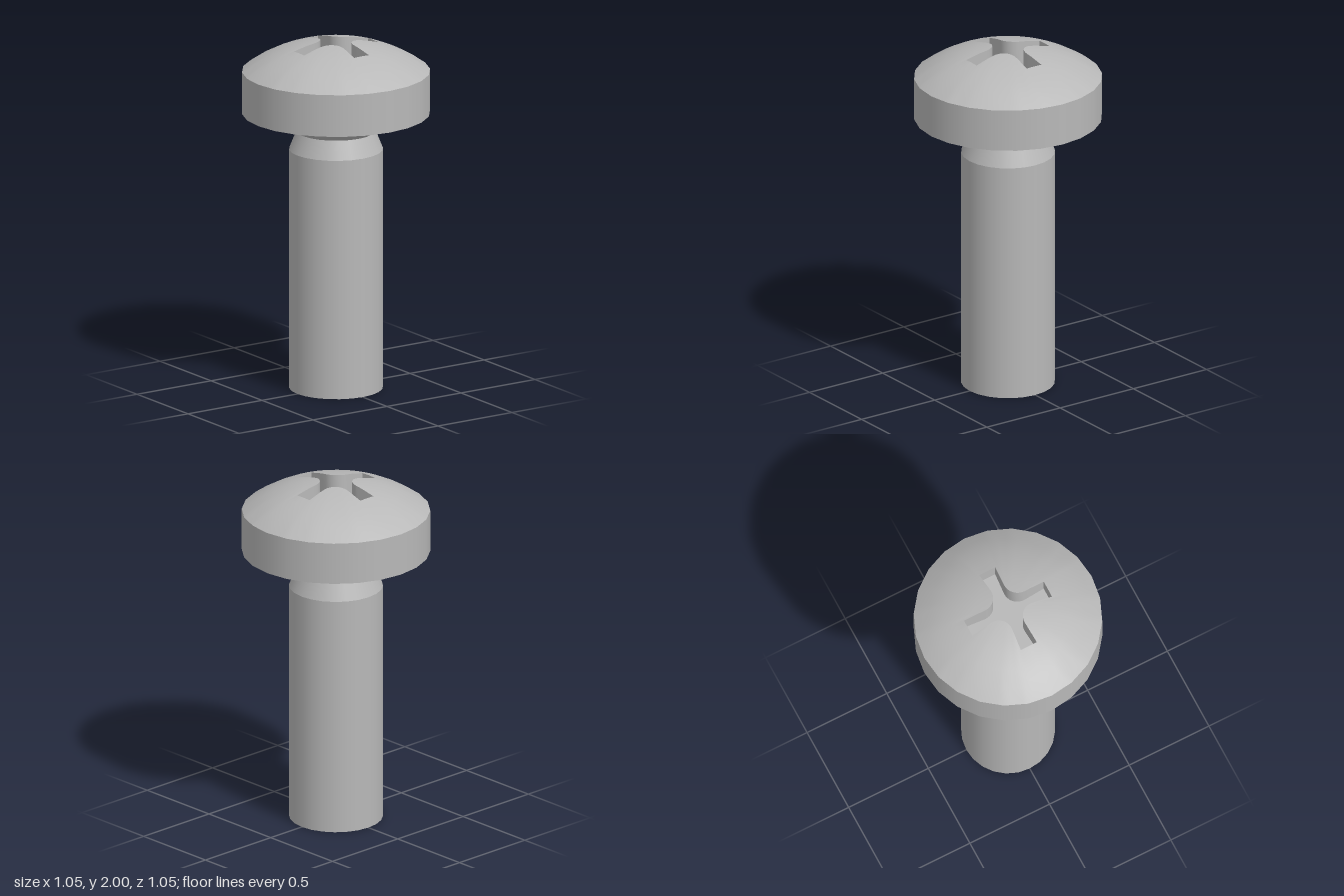
import * as THREE from 'three';
import { toCreasedNormals } from 'three/addons/utils/BufferGeometryUtils.js';

const HEAD_R = 0.525, RIM_Y = 1.825, HEAD_BOTTOM = 1.585, FLOOR_Y = 1.85;
const SPHERE_R = 0.875; // curvature of the domed top
const domeY = (r) => 2 - SPHERE_R + Math.sqrt(SPHERE_R ** 2 - r * r);

// One quarter of the cross recess: flared arm, rounded inner corner, flared arm
function crossOutline() {
  const quarter = [[0.25, -0.05], [0.25, 0.05]];
  for (let i = 0; i <= 8; i++) {
    const a = THREE.MathUtils.degToRad(-86 - (98 * i) / 8);
    quarter.push([0.12 + 0.08 * Math.cos(a), 0.12 + 0.08 * Math.sin(a)]);
  }
  const pts = [];
  for (let q = 0; q < 4; q++) {
    const c = Math.round(Math.cos(q * Math.PI / 2)), s = Math.round(Math.sin(q * Math.PI / 2));
    for (const [x, y] of quarter) pts.push(new THREE.Vector2(c * x - s * y, s * x + c * y));
  }
  return pts;
}

// Distance from the centre to a star-shaped polygon along angle a
function radiusAt(pts, a) {
  const d = new THREE.Vector2(Math.cos(a), Math.sin(a));
  for (let i = 0; i < pts.length; i++) {
    const p = pts[i], q = pts[(i + 1) % pts.length];
    const sp = d.cross(p), sq = d.cross(q);
    if (sp <= 1e-9 && sq > 1e-9 && d.dot(p) > 0) {
      return d.dot(p.clone().lerp(q, sp / (sp - sq)));
    }
  }
  return 0;
}

// Surface through closed rings of points
function loft(rings) {
  const n = rings[0].length, index = [];
  for (let j = 0; j < rings.length - 1; j++) {
    for (let i = 0; i < n; i++) {
      const k = (i + 1) % n;
      const a = j * n + i, b = j * n + k, c = a + n, d = b + n;
      index.push(a, b, c, b, d, c);
    }
  }
  const geo = new THREE.BufferGeometry().setFromPoints(rings.flat());
  geo.setIndex(index);
  geo.computeVertexNormals();
  return geo;
}

export function createModel() {
  const group = new THREE.Group();
  const steel = new THREE.MeshStandardMaterial({ color: 0xb8b8b8 });
  steel.name = 'steel';
  const add = (name, geo) => {
    const mesh = new THREE.Mesh(geo, steel);
    mesh.name = name;
    group.add(mesh);
    return mesh;
  };
  const band = (name, rTop, rBottom, yTop, yBottom, sides) => {
    add(name, new THREE.CylinderGeometry(rTop, rBottom, yTop - yBottom, sides, 1, true))
      .position.y = (yTop + yBottom) / 2;
  };

  // Outlines of the recess and of the 24-sided head, sampled at shared angles
  const cross = crossOutline();
  const rim = Array.from({ length: 24 }, (_, i) => new THREE.Vector2(
    HEAD_R * Math.cos(i * Math.PI / 12), HEAD_R * Math.sin(i * Math.PI / 12)));
  const angles = [...cross, ...rim].map((p) => (p.angle() + 1e-7) % (2 * Math.PI))
    .sort((a, b) => a - b)
    .filter((a, i, all) => i === 0 || a - all[i - 1] > 1e-4);
  const inner = angles.map((a) => radiusAt(cross, a));
  const outer = angles.map((a) => radiusAt(rim, a));
  const ring = (t, height) => angles.map((a, i) => {
    const r = THREE.MathUtils.lerp(inner[i], outer[i], t);
    const y = t === 1 ? RIM_Y : height(r);
    return new THREE.Vector3(r * Math.cos(a), y, r * Math.sin(a));
  });

  // Domed top with the cross cut out of it
  add('headDome', loft([0, 0.2, 0.4, 0.6, 0.8, 1].map((t) => ring(t, domeY))));

  // Cross recess
  add('recessWalls', toCreasedNormals(loft([ring(0, () => FLOOR_Y), ring(0, domeY)]), 0.6));
  const floor = new THREE.ShapeGeometry(new THREE.Shape(cross));
  floor.rotateX(-Math.PI / 2);
  add('recessFloor', floor).position.y = FLOOR_Y;

  // Head side and underside
  band('headSide', HEAD_R, HEAD_R, RIM_Y, HEAD_BOTTOM, 24);
  const underside = new THREE.RingGeometry(0.34, HEAD_R, 24);
  underside.rotateX(Math.PI / 2);
  add('headUnderside', underside).position.y = HEAD_BOTTOM;

  // Neck and shank
  band('neckFlare', 0.34, 0.22, HEAD_BOTTOM, 1.48, 24);
  band('neckTaper', 0.22, 0.262, 1.48, 1.375, 24);
  band('shank', 0.262, 0.262, 1.375, 0, 24);
  const end = new THREE.CircleGeometry(0.262, 24);
  end.rotateX(Math.PI / 2);
  add('shankEnd', end);

  return group;
}
